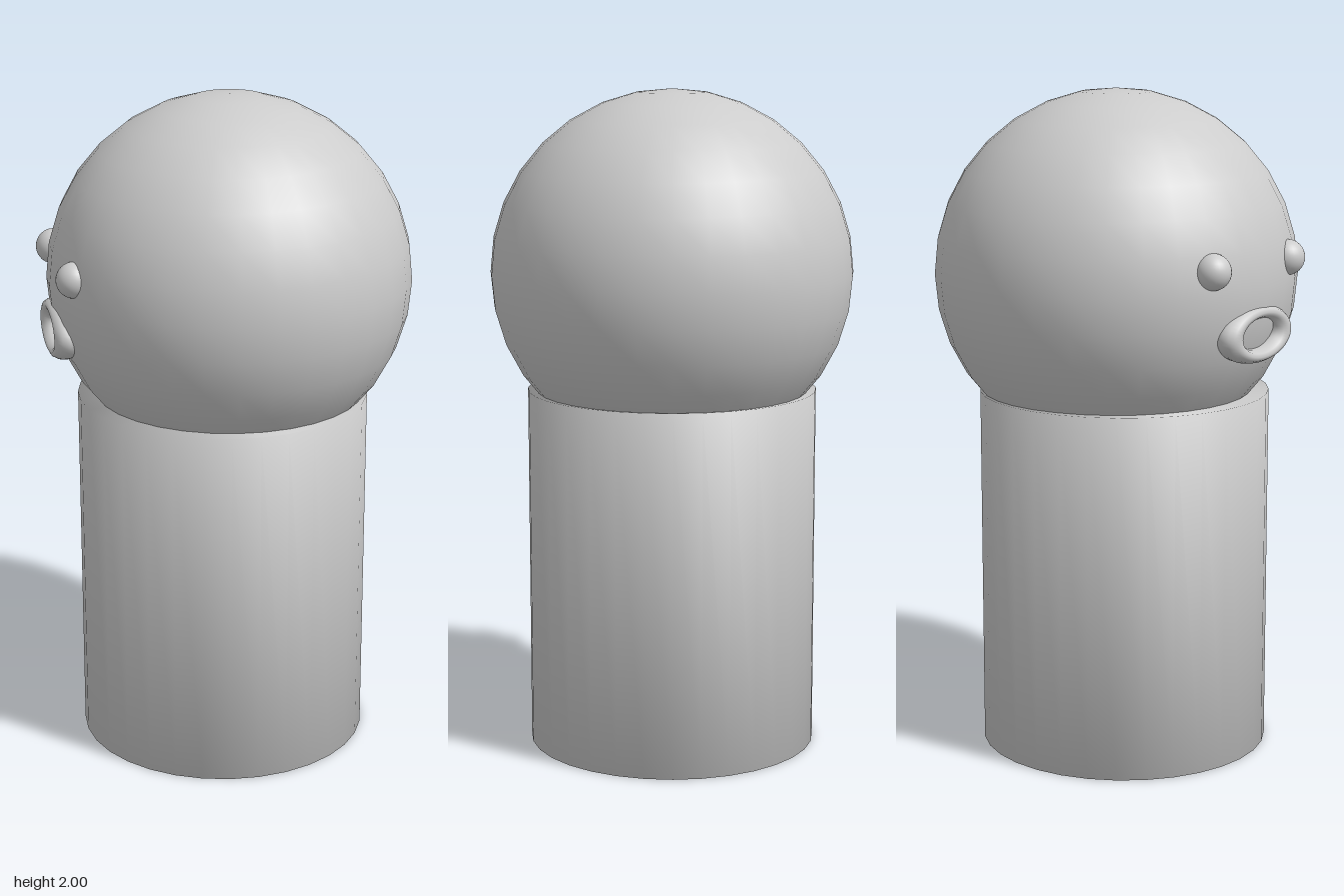
import * as THREE from 'three';

export function createModel() {
  const model = new THREE.Group();
  const grey = new THREE.MeshStandardMaterial({ color: 0xcccccc });
  grey.name = 'plainGrey';

  const add = (name, geometry, x, y, z) => {
    const mesh = new THREE.Mesh(geometry, grey);
    mesh.name = name;
    mesh.position.set(x, y, z);
    model.add(mesh);
    return mesh;
  };

  // Closed cylinder, with normals smoothed over both rims
  const profile = [[0, 0], [0.438, 0], [0.438, 1.097], [0, 1.097]];
  add('body', new THREE.LatheGeometry(profile.map(([r, y]) => new THREE.Vector2(r, y)), 32), 0, 0, 0.005);

  // Round head sunk into the top of the body
  add('head', new THREE.SphereGeometry(0.545, 32, 16), 0, 1.455, -0.02);

  // The face is turned towards the model's right
  const eye = new THREE.SphereGeometry(0.053, 32, 16);
  add('rightEye', eye, -0.377, 1.52, 0.357);
  add('leftEye', eye, -0.041, 1.52, 0.507);

  // Oval ring mouth
  const mouth = add('mouth', new THREE.TorusGeometry(0.123, 0.039, 12, 48), -0.215, 1.32, 0.445);
  mouth.scale.y = 0.52;
  mouth.rotation.y = -0.41;

  return model;
}
